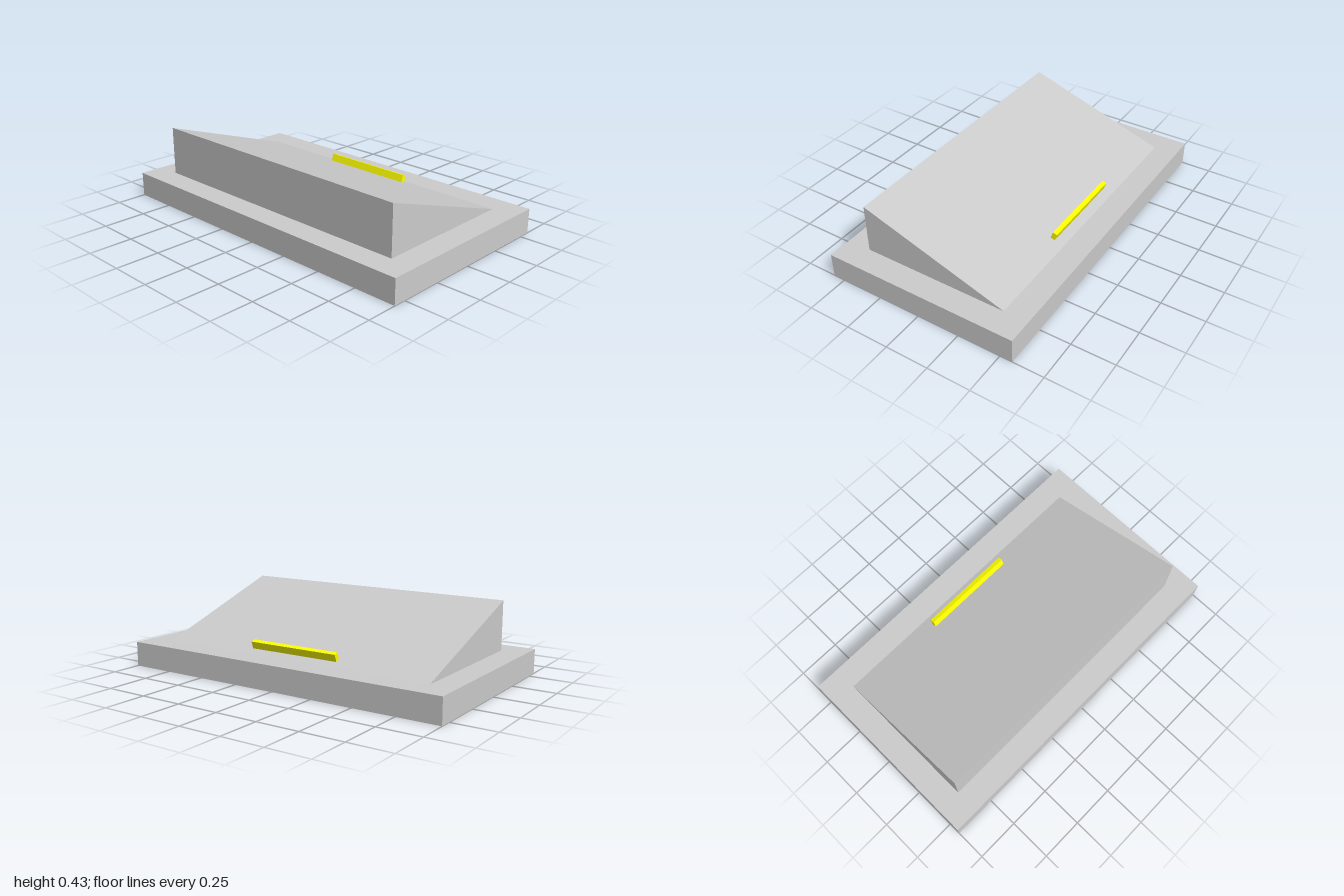
import * as THREE from 'three';

export function createModel() {
  const model = new THREE.Group();
  const grey = new THREE.MeshStandardMaterial({ color: 0xcccccc });
  const yellow = new THREE.MeshStandardMaterial({ color: 0xffff00 });

  const add = (name, geometry, material) => {
    const mesh = new THREE.Mesh(geometry, material);
    mesh.name = name;
    model.add(mesh);
    return mesh;
  };

  const baseTop = 0.143, wedgeTop = 0.429, halfDepth = 0.429, width = 1.714;
  const slope = Math.atan2(wedgeTop - baseTop, 2 * halfDepth);

  // Flat rectangular base
  add('base', new THREE.BoxGeometry(2, baseTop, 1.143), grey).position.y = baseTop / 2;

  // Sloping wedge, tall at the front: side profile extruded across the width
  const profile = new THREE.Shape([
    new THREE.Vector2(-halfDepth, baseTop),
    new THREE.Vector2(halfDepth, baseTop),
    new THREE.Vector2(-halfDepth, wedgeTop),
  ]);
  const wedge = new THREE.ExtrudeGeometry(profile, { depth: width, bevelEnabled: false });
  wedge.translate(0, 0, -width / 2).rotateY(Math.PI / 2);
  add('wedge', wedge, grey);

  // Yellow ledge standing square to the slope near its low edge
  const ledge = add('ledge', new THREE.BoxGeometry(0.56, 0.043, 0.027), yellow);
  ledge.position.set(0, 0.186, -0.368);
  ledge.rotation.x = -slope;

  return model;
}
